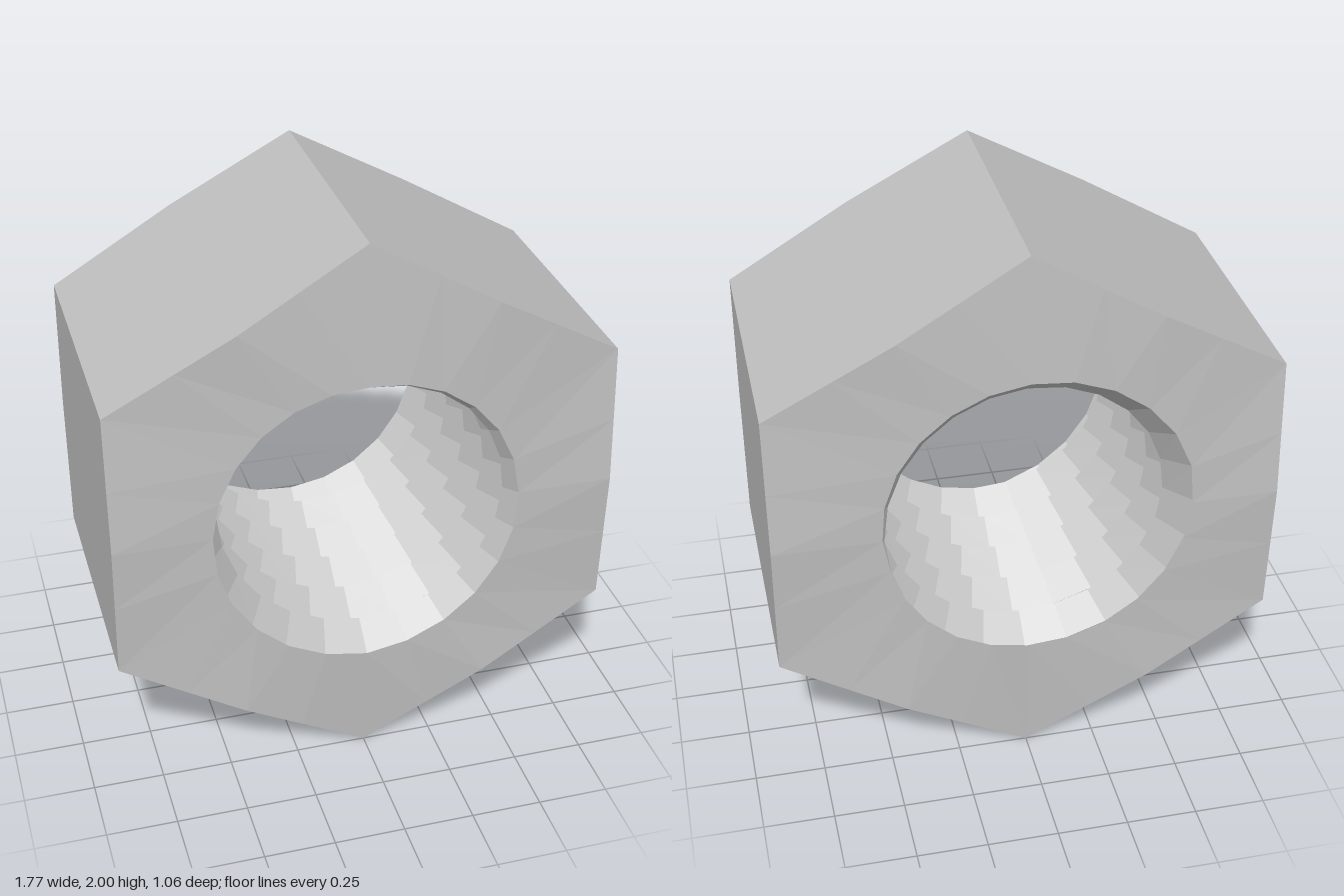
import * as THREE from 'three';

const SEG = 24, PITCH = 0.2, HALF = 0.53, CREST = 0.5, ROOT = 0.585;
const TAU = Math.PI * 2;

// Bore radius: a triangular wave that follows a right-hand helix
function boreRadius(a, z) {
  const t = (z - HALF) / PITCH - a / TAU + 0.25;
  const f = t - Math.floor(t);
  return CREST + (ROOT - CREST) * (1 - Math.abs(2 * f - 1));
}

const borePoint = (a, z) => {
  const r = boreRadius(a, z);
  return new THREE.Vector3(r * Math.cos(a), r * Math.sin(a), z);
};

// Point on the hexagon rim; the corners are chamfered slightly back
function rimPoint(a, side) {
  const off = ((a % (TAU / 6)) + TAU / 6) % (TAU / 6) - TAU / 12; // 0 at a corner
  const fromMid = TAU / 12 - Math.abs(off);
  const r = Math.cos(TAU / 12) / Math.cos(fromMid);
  const z = side * (HALF - 0.03 * Math.tan(fromMid) / Math.tan(TAU / 12));
  return new THREE.Vector3(1.02 * r * Math.cos(a), r * Math.sin(a), z);
}

// Collects quads as separate triangles and drops the collapsed ones
function surface() {
  const pos = [];
  const tri = (a, b, c) => {
    const area = b.clone().sub(a).cross(c.clone().sub(a)).length();
    if (area > 1e-7) for (const p of [a, b, c]) pos.push(p.x, p.y, p.z);
  };
  return {
    quad(a, b, c, d) { tri(a, b, c); tri(a, c, d); },
    mesh(name, material) {
      const g = new THREE.BufferGeometry();
      g.setAttribute('position', new THREE.Float32BufferAttribute(pos, 3));
      g.computeVertexNormals();
      const m = new THREE.Mesh(g, material);
      m.name = name;
      return m;
    },
  };
}

export function createModel() {
  const steel = new THREE.MeshStandardMaterial({ color: 0xc0c0c0 });
  steel.name = 'steel grey';
  const sides = surface(), front = surface(), back = surface(), thread = surface();

  // Helix rows alternate crest and root and are cut off at the end faces
  const rowZ = (k, a) => THREE.MathUtils.clamp(
    HALF + PITCH * (k / 2 + a / TAU - 0.25), -HALF, HALF);

  for (let i = 0; i < SEG; i++) {
    const a = i / SEG * TAU, b = (i + 1) / SEG * TAU;

    // Outer flats
    sides.quad(rimPoint(a, 1), rimPoint(a, -1), rimPoint(b, -1), rimPoint(b, 1));

    // End faces
    front.quad(borePoint(a, HALF), rimPoint(a, 1), rimPoint(b, 1), borePoint(b, HALF));
    back.quad(borePoint(b, -HALF), rimPoint(b, -1), rimPoint(a, -1), borePoint(a, -HALF));

    // Threaded bore
    for (let k = -15; k < 3; k++) {
      thread.quad(
        borePoint(a, rowZ(k, a)), borePoint(a, rowZ(k + 1, a)),
        borePoint(b, rowZ(k + 1, b)), borePoint(b, rowZ(k, b)));
    }
  }

  const nut = new THREE.Group();
  nut.name = 'hexNut';
  nut.add(
    sides.mesh('hexSides', steel), front.mesh('frontFace', steel),
    back.mesh('backFace', steel), thread.mesh('threadedBore', steel));
  nut.position.y = 1;

  const model = new THREE.Group();
  model.name = 'nut';
  model.add(nut);
  return model;
}
